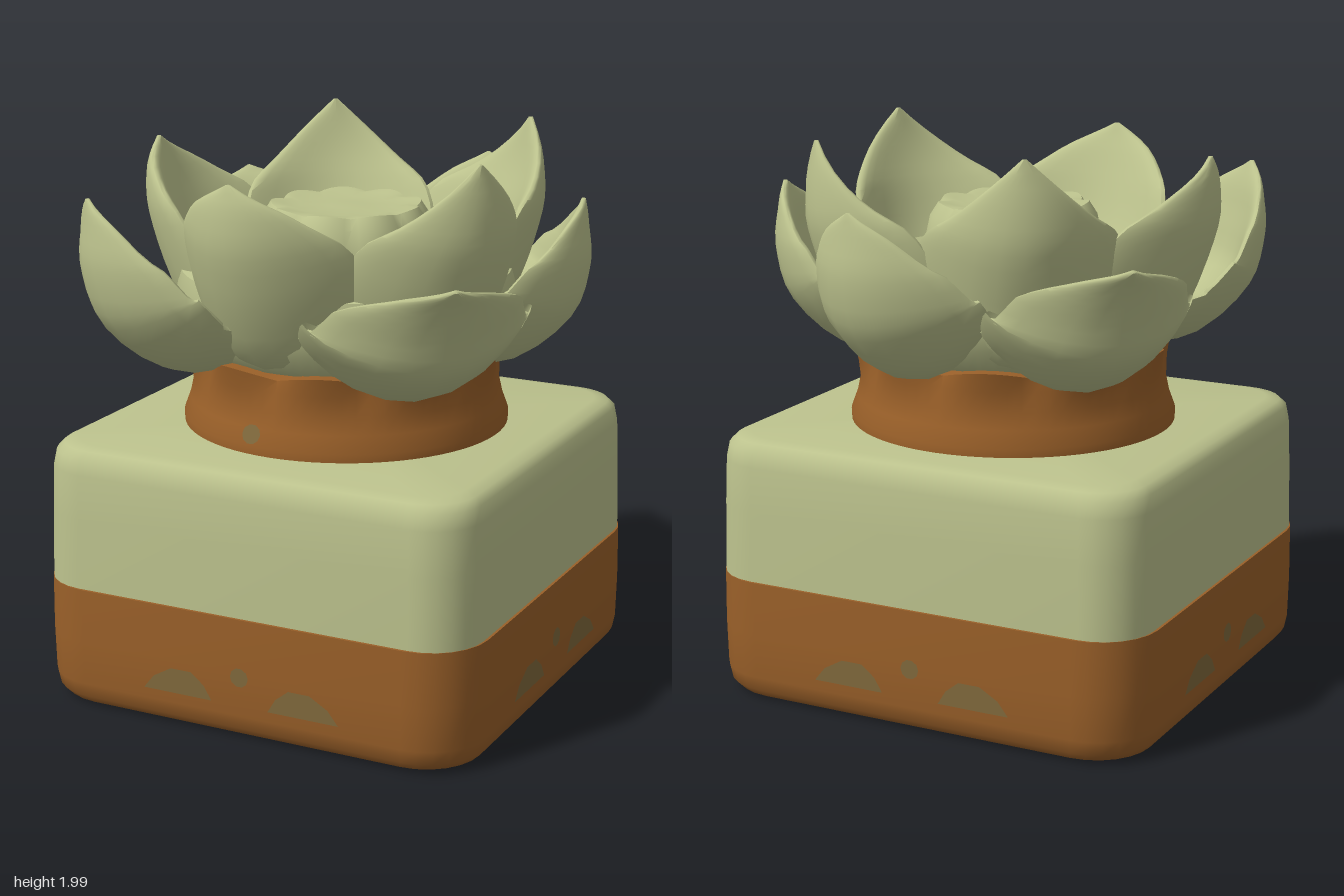
import * as THREE from 'three';
import { toCreasedNormals } from 'three/addons/utils/BufferGeometryUtils.js';

const mat = (name, color, side = THREE.FrontSide) => {
  const m = new THREE.MeshStandardMaterial({ color, side });
  m.name = name;
  return m;
};

// Closed skin over a stack of equal-length loops, capped at both ends
function loft(rings, crease = 0.7) {
  const n = rings[0].length, pos = [], idx = [];
  rings.forEach(r => r.forEach(p => pos.push(p.x, p.y, p.z)));
  for (let i = 0; i < rings.length - 1; i++)
    for (let j = 0; j < n; j++) {
      const a = i * n + j, b = i * n + (j + 1) % n;
      idx.push(a, a + n, b, b, a + n, b + n);
    }
  [0, rings.length - 1].forEach((k, end) => {
    const c = rings[k].reduce((s, p) => s.add(p), new THREE.Vector3()).divideScalar(n);
    const ci = pos.length / 3;
    pos.push(c.x, c.y, c.z);
    for (let j = 0; j < n; j++) {
      const a = k * n + j, b = k * n + (j + 1) % n;
      if (end) idx.push(ci, b, a); else idx.push(ci, a, b);
    }
  });
  // turn the skin outward when its signed volume is negative
  const V = i => new THREE.Vector3().fromArray(pos, i * 3);
  let vol = 0;
  for (let i = 0; i < idx.length; i += 3) vol += V(idx[i]).dot(V(idx[i + 1]).cross(V(idx[i + 2])));
  if (vol < 0) idx.reverse();
  const g = new THREE.BufferGeometry();
  g.setAttribute('position', new THREE.Float32BufferAttribute(pos, 3));
  g.setIndex(idx);
  return toCreasedNormals(g, crease);
}

// Rounded rectangle loop
function roundedRing(y, hx, hz, r) {
  const out = [];
  for (let q = 0; q < 4; q++)
    for (let i = 0; i <= 6; i++) {
      const a = (q + i / 6) * Math.PI / 2;
      const sx = q === 0 || q === 3 ? 1 : -1, sz = q < 2 ? 1 : -1;
      out.push(new THREE.Vector3(sx * (hx - r) + r * Math.cos(a), y, 0.02 + sz * (hz - r) + r * Math.sin(a)));
    }
  return out;
}

// Round loop with optional lobes in radius and height
function lobedRing(r, y, lobes = 0, dr = 0, dy = 0) {
  return Array.from({ length: 72 }, (_, i) => {
    const a = i / 72 * Math.PI * 2;
    const k = lobes ? Math.abs(Math.cos(a * lobes / 2)) : 0;
    return new THREE.Vector3((r + dr * k) * Math.cos(a), y + dy * k, (r + dr * k) * Math.sin(a));
  });
}

// Cupped petal: stations give radius, height and half width along its spine;
// the inner face is padded by fill towards the root
function petal(deg, stations, cup, thick, fill) {
  const a = THREE.MathUtils.degToRad(deg);
  const out = new THREE.Vector3(Math.cos(a), 0, Math.sin(a));
  const across = new THREE.Vector3(-Math.sin(a), 0, Math.cos(a));
  const up = new THREE.Vector3(0, 1, 0);
  const spine = new THREE.CatmullRomCurve3(stations.map(s => new THREE.Vector3(...s)));
  const wMax = Math.max(...stations.map(s => s[2]));
  const rings = [];
  for (let i = 0; i <= 18; i++) {
    const v = i / 18, p = spine.getPoint(v), t = spine.getTangent(v);
    const len = Math.hypot(t.x, t.y) || 1;
    const inward = out.clone().multiplyScalar(-t.y / len).addScaledVector(up, t.x / len);
    const w = Math.max(p.z, 0.008), k = w / wMax;
    const th = thick * Math.min(1, 0.15 + k);
    rings.push(Array.from({ length: 24 }, (_, j) => {
      const s = j / 24 * Math.PI * 2, u = Math.cos(s), h = Math.sin(s);
      const depth = h > 0 ? th + fill * (1 - v) : th;
      return out.clone().multiplyScalar(p.x).addScaledVector(up, p.y)
        .addScaledVector(across, u * w)
        .addScaledVector(inward, cup * k * k * u * u + depth * h);
    }));
  }
  return loft(rings, 1.0);
}

export function createModel() {
  const green = mat('sage green', 0xbcc28d);
  const brown = mat('terracotta brown', 0x9a6029);
  const moss = mat('moss stain', 0x80693c, THREE.DoubleSide);
  const model = new THREE.Group();
  const add = (name, geo, material, parent = model) => {
    const m = new THREE.Mesh(geo, material);
    m.name = name;
    parent.add(m);
    return m;
  };

  // Square pot in two bands: height, inset from full width
  const band = (hx, hz, r, rows) => loft(rows.map(([y, d]) => roundedRing(y, hx - d, hz - d, r - d / 2)));
  add('potBase', band(0.84, 0.82, 0.22, [[0, 0.07], [0.012, 0.035], [0.04, 0.012], [0.09, 0.003], [0.25, 0], [0.445, 0.002]]), brown);
  add('potBody', band(0.829, 0.808, 0.19, [[0.43, 0], [0.7, 0.006], [0.86, 0.012], [0.915, 0.022], [0.94, 0.045], [0.95, 0.09]]), green);

  // Moss stains on the four sides of the base
  const arch = new THREE.Shape([[-0.14, 0], [0.13, 0], [0.1, 0.05], [0.05, 0.09], [-0.03, 0.09], [-0.1, 0.05]]
    .map(p => new THREE.Vector2(...p)));
  const archGeo = new THREE.ShapeGeometry(arch);
  const dotGeo = new THREE.CircleGeometry(0.035, 10);
  const sides = [[0, 0, 0.843, 0], [0.843, 0, 0.02, 1], [0, 0, -0.803, 2], [-0.843, 0, 0.02, 3]];
  for (const [x, y, z, q] of sides) {
    const face = new THREE.Group();
    face.name = 'mossStains';
    face.position.set(x, y, z);
    face.rotation.y = q * Math.PI / 2;
    for (const [px, flip] of [[-0.23, 1], [0.25, -1]]) {
      const m = add('mossPatch', archGeo, moss, face);
      m.scale.x = flip;
      m.position.set(px, 0.13, 0);
    }
    add('mossDot', dotGeo, moss, face).position.set(0.01, 0.235, 0);
    model.add(face);
  }

  // Collar between pot and flower, flaring into lobes
  add('collar', loft([lobedRing(0.585, 0.94), lobedRing(0.587, 0.98), lobedRing(0.565, 1.04), lobedRing(0.552, 1.1),
    lobedRing(0.54, 1.17, 10, 0.02), lobedRing(0.53, 1.21, 10, 0.045, 0.03), lobedRing(0.4, 1.24)]), brown);
  const spot = add('collarStain', dotGeo, moss);
  spot.position.set(-0.08, 1.02, 0.573);
  spot.rotation.x = -0.35;

  // Flower, with a sloping bowl joining the petal roots
  const flower = new THREE.Group();
  flower.name = 'flower';
  model.add(flower);
  add('flowerHeart', loft([lobedRing(0.4, 1.2), lobedRing(0.52, 1.23), lobedRing(0.59, 1.32),
    lobedRing(0.61, 1.42), lobedRing(0.59, 1.51), lobedRing(0.55, 1.52), lobedRing(0.45, 1.45), lobedRing(0.25, 1.41)]), green, flower);

  // Outer petals: angle, bulge radius, tip radius, tip height, half width
  const outer = [[45, 0.97, 1.09, 1.66, 0.4], [131, 0.93, 0.95, 1.82, 0.38], [222, 0.94, 1.06, 1.68, 0.37],
    [284, 0.82, 0.83, 1.8, 0.36], [344, 0.83, 0.84, 1.78, 0.36]];
  for (const [deg, b, r, y, w] of outer) {
    const h = f => 1.22 + (y - 1.22) * f;
    add('outerPetal', petal(deg, [[0.36, 1.25, w * 0.78], [b * 0.7, 1.23, w * 0.95], [b * 0.94, h(0.3), w],
      [b, h(0.6), w * 0.84], [(b + r) / 2, h(0.84), w * 0.46], [r, y, 0.008]], 0.22, 0.042, 0.06), green, flower);
  }

  // Inner petals: angle, tip radius, tip height
  const inner = [[95, 0.74, 1.92], [27, 0.74, 1.98], [310, 0.73, 1.99], [240, 0.7, 1.99], [173, 0.72, 1.93]];
  for (const [deg, r, y] of inner)
    add('innerPetal', petal(deg, [[0.34, 1.27, 0.24], [0.53, 1.29, 0.31], [r * 0.87, 1.46, 0.355],
      [r * 0.97, 1.67, 0.32], [r, 1.82, 0.19], [r, y, 0.008]], 0.23, 0.045, 0.09), green, flower);

  // Closed bud in the middle with a shallow dished top
  add('bud', loft([lobedRing(0.31, 1.38), lobedRing(0.31, 1.52, 9, 0.015), lobedRing(0.3, 1.62, 9, 0.015),
    lobedRing(0.28, 1.69, 9, 0.02), lobedRing(0.25, 1.725, 9, 0.02, 0.012), lobedRing(0.215, 1.73, 9, 0.01),
    lobedRing(0.17, 1.72), lobedRing(0.06, 1.725)]), green, flower);

  return model;
}
